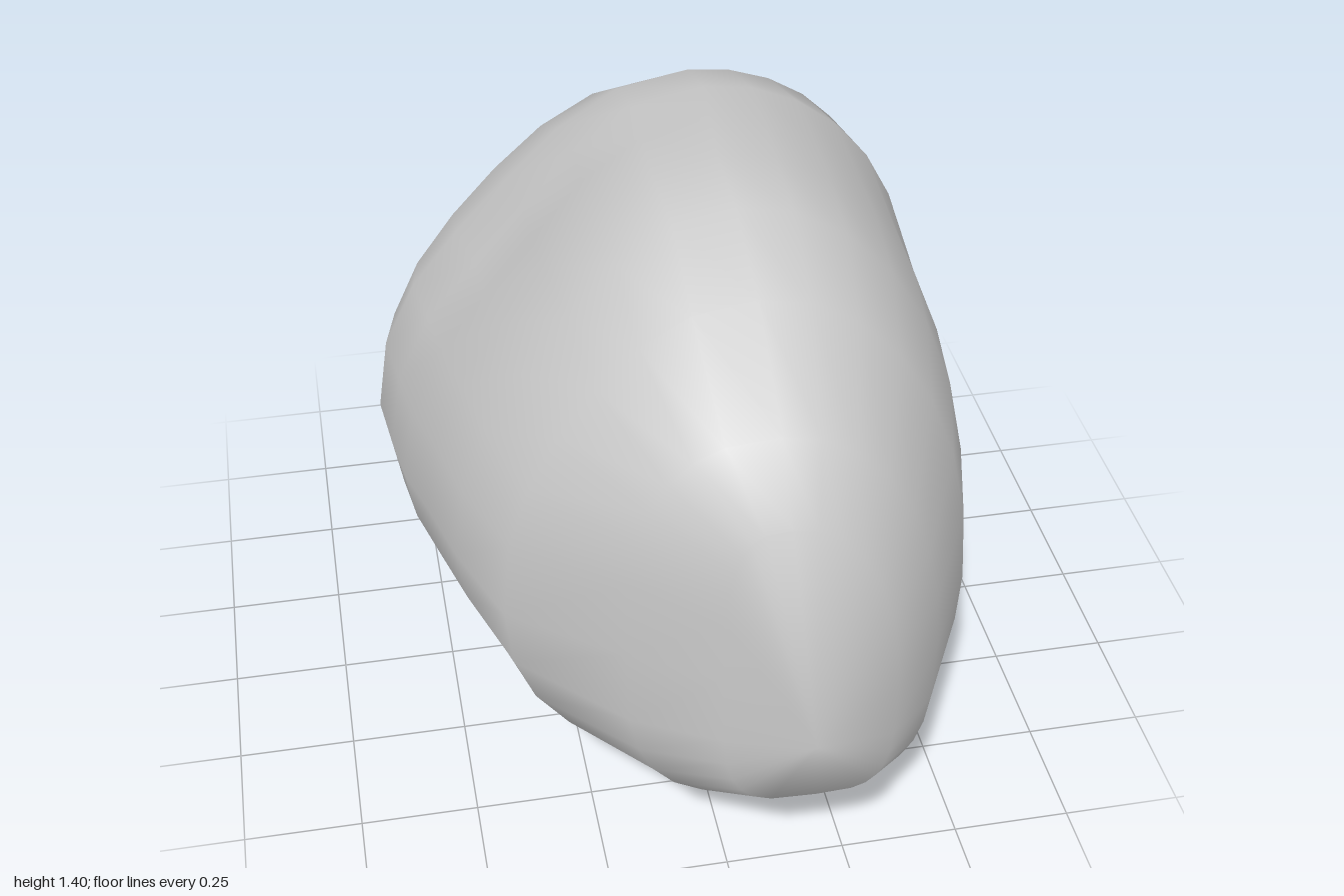
import * as THREE from 'three';
import { mergeVertices } from 'three/addons/utils/BufferGeometryUtils.js';

// Cross-sections from nose to tail. Each holds z and four extreme points:
// [z, -x side x,y, +x side x,y, top x,y, bottom x,y]
const SECTIONS = [
  [1.0, 0.11, 0.57, 0.11, 0.57, 0.11, 0.57, 0.11, 0.57],
  [0.94, -0.06, 0.72, 0.28, 0.64, 0.06, 1.06, 0.13, 0.38],
  [0.8, -0.22, 0.68, 0.4, 0.6, 0.07, 1.16, 0.17, 0.26],
  [0.58, -0.425, 0.62, 0.52, 0.57, 0.07, 1.31, 0.2, 0.14],
  [0.38, -0.5, 0.62, 0.575, 0.56, 0.07, 1.385, 0.22, 0.085],
  [0.2, -0.54, 0.6, 0.602, 0.56, 0.07, 1.4, 0.22, 0.032],
  [0.0, -0.575, 0.54, 0.604, 0.62, 0.1, 1.365, 0.2, 0.012],
  [-0.17, -0.59, 0.5, 0.585, 0.8, 0.12, 1.345, 0.17, 0.0],
  [-0.34, -0.605, 0.49, 0.535, 0.9, 0.12, 1.295, 0.12, 0.015],
  [-0.5, -0.57, 0.48, 0.425, 0.74, 0.07, 1.195, 0.07, 0.035],
  [-0.65, -0.51, 0.47, 0.37, 0.5, 0.0, 1.005, 0.02, 0.085],
  [-0.8, -0.4, 0.46, 0.28, 0.46, -0.04, 0.785, -0.02, 0.15],
  [-0.93, -0.26, 0.45, 0.14, 0.45, -0.05, 0.59, -0.05, 0.27],
  [-1.0, -0.05, 0.45, -0.05, 0.45, -0.05, 0.45, -0.05, 0.45],
];

// Shallow hollows: centre, radius, depth
const DENTS = [
  { at: new THREE.Vector3(0.47, 0.6, -0.38), radius: 0.2, depth: 0.035 },
  { at: new THREE.Vector3(-0.3, 1.05, -0.1), radius: 0.24, depth: 0.035 },
  { at: new THREE.Vector3(0.17, 0.95, -0.63), radius: 0.18, depth: 0.03 },
];

const AROUND = 28;

// Four rounded quarters joined at the extreme points
function pointOn([z, xl, yl, xr, yr, xt, yt, xb, yb], angle) {
  const c = Math.cos(angle);
  const s = Math.sin(angle);
  const [sx, sy] = c >= 0 ? [xr, yr] : [xl, yl];
  const [px, py] = s >= 0 ? [xt, yt] : [xb, yb];
  // the blunt nose is squarer than the body, except high on the +x side
  const nose = THREE.MathUtils.smoothstep(z, 0.4, 0.95);
  const upper = c < 0 ? 1 - 0.4 * nose : 1;
  const power = s < 0 ? 1 - 0.5 * nose : upper;
  const p = new THREE.Vector3(
    px + (sx - px) * Math.abs(c) ** power,
    sy + (py - sy) * Math.abs(s) ** power,
    z,
  );
  // behind the nose the upper -x flank is a little flatter than an ellipse
  if (c < 0 && s > 0) {
    const flat = 0.22 * (1 - nose) * (c * s) ** 2;
    p.x += flat * (xt - xl);
    p.y -= flat * (yt - yl);
  }
  const inward = new THREE.Vector3(0, 0.6, z * 0.5).sub(p).normalize();
  for (const { at, radius, depth } of DENTS) {
    const fall = Math.exp(-p.distanceToSquared(at) / (radius * radius));
    p.addScaledVector(inward, depth * fall);
  }
  return p;
}

function createRockGeometry() {
  const positions = [];
  const indices = [];
  for (const section of SECTIONS) {
    for (let j = 0; j < AROUND; j++) {
      positions.push(...pointOn(section, (j / AROUND) * Math.PI * 2).toArray());
    }
  }
  const bands = SECTIONS.length - 1;
  for (let i = 0; i < bands; i++) {
    for (let j = 0; j < AROUND; j++) {
      const a = i * AROUND + j;
      const b = i * AROUND + ((j + 1) % AROUND);
      // the end rings shrink to a point, so they need one triangle each
      if (i > 0) indices.push(a, b + AROUND, b);
      if (i < bands - 1) indices.push(a, a + AROUND, b + AROUND);
    }
  }
  const geometry = new THREE.BufferGeometry();
  geometry.setAttribute('position', new THREE.Float32BufferAttribute(positions, 3));
  geometry.setIndex(indices);
  const welded = mergeVertices(geometry, 1e-5);
  welded.computeVertexNormals();
  return welded;
}

export function createModel() {
  const group = new THREE.Group();
  group.name = 'boulder';
  const material = new THREE.MeshStandardMaterial({ color: 0xcccccc });
  const rock = new THREE.Mesh(createRockGeometry(), material);
  rock.name = 'rock';
  group.add(rock);
  return group;
}
